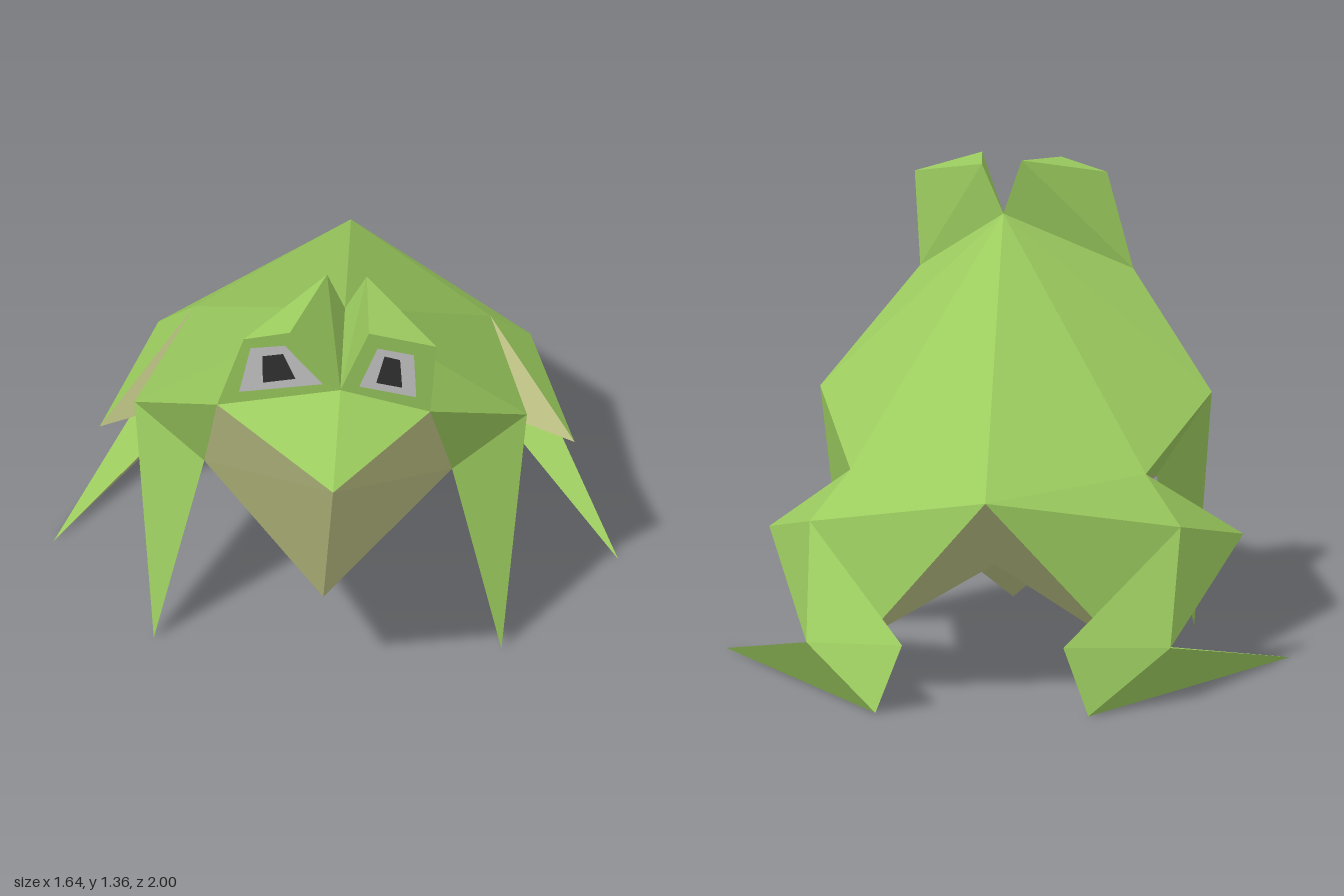
import * as THREE from 'three';

const paint = (color) => new THREE.MeshStandardMaterial({ color, flatShading: true, side: THREE.DoubleSide });

// Corner points of the folded shape, given for the +x half
const P = {
  nose: [0.05, 1.02, 1], brow: [0.05, 1.1, 0.61], crown: [0.05, 1.21, 0.36],
  rump: [0, 0.6, -0.88], chin: [0, 0.34, 0.6], belly: [0, 0.13, 0.1], groin: [0, 0.355, -0.55],
  cheek: [0.31, 1.01, 0.58], shoulder: [0.57, 0.725, 0.2], chest: [0.36, 0.625, 0.34],
  armpit: [0.42, 0.5, 0.07], hand: [0.505, 0, 0.37], waist: [0.43, 0.605, -0.43],
  hip: [0.54, 0.47, -0.53], knee: [0.69, 0.375, -0.14], ankle: [0.53, 0.16, -0.77],
  hock: [0.365, 0.16, -0.7], heel: [0.235, 0.195, -0.97], sole: [0.31, 0, -1], toe: [0.82, 0, -0.08],
};
const CENTRE = ['nose', 'brow', 'crown', 'rump', 'chin', 'belly', 'groin'];

// Polygons (fans of corners) to a flat-shaded mesh; side -1 reverses the winding
function facets(name, polygons, material, side = 1) {
  const out = [];
  for (const poly of polygons) {
    for (let i = 1; i < poly.length - 1; i++) {
      const tri = [poly[0], poly[i], poly[i + 1]];
      if (side < 0) tri.reverse();
      out.push(...tri.flat());
    }
  }
  const geometry = new THREE.BufferGeometry();
  geometry.setAttribute('position', new THREE.Float32BufferAttribute(out, 3));
  geometry.computeVertexNormals();
  const mesh = new THREE.Mesh(geometry, material);
  mesh.name = name;
  return mesh;
}

// Faces of each part, named by their corners
const PARTS = [
  ['back', 'green', ['nose cheek brow', 'crown cheek shoulder', 'crown shoulder waist',
    'crown waist rump', 'cheek chest shoulder', 'shoulder armpit waist']],
  ['underside', 'pale', ['nose chin chest', 'nose chest cheek', 'chin belly chest',
    'chest belly armpit', 'armpit belly waist', 'waist belly groin']],
  ['frontLeg', 'green', ['shoulder chest hand', 'shoulder hand armpit', 'chest armpit hand']],
  ['thigh', 'green', ['waist knee hip', 'hip knee ankle', 'waist hip rump', 'rump hip hock']],
  ['thighUnderside', 'pale', ['waist groin knee', 'groin hock knee', 'knee hock ankle', 'rump hock groin']],
  ['hindFoot', 'green', ['hip ankle heel', 'ankle toe sole', 'heel ankle sole', 'hock toe ankle']],
  ['hindFootInside', 'pale', ['hip heel hock', 'hock heel sole', 'hock sole toe']],
];

// The two eyes differ slightly, as in folded paper: front-view outlines
const EYES = [
  { side: 1, inner: [0.135, 1.335], outer: [0.33, 1.28], back: [0.115, 1.35, 0.39],
    white: [[0.105, 1.12], [0.27, 1.075], [0.265, 1.25], [0.16, 1.278]],
    pupil: [[0.155, 1.14], [0.23, 1.12], [0.225, 1.235], [0.18, 1.25]] },
  { side: -1, inner: [-0.095, 1.325], outer: [-0.23, 1.285], back: [0, 1.36, 0.4],
    white: [[0, 1.125], [-0.245, 1.07], [-0.21, 1.255], [-0.11, 1.275]],
    pupil: [[-0.08, 1.145], [-0.175, 1.12], [-0.175, 1.23], [-0.115, 1.245]] },
];

export function createModel() {
  const model = new THREE.Group();
  model.name = 'foldedFrog';
  const mats = { green: paint(0x9ccc5f), pale: paint(0xbcc183), white: paint(0xcccccc), dark: paint(0x333333) };

  // Body and legs, both halves
  for (const side of [1, -1]) {
    const prefix = side > 0 ? 'left ' : 'right ';
    const at = (key) => {
      const [x, y, z] = P[key];
      return CENTRE.includes(key) ? [x, y, z] : [x * side, y, z];
    };
    for (const [name, mat, faces] of PARTS) {
      const polygons = faces.map((f) => f.split(' ').map(at));
      model.add(facets(prefix + name, polygons, mats[mat], side));
    }
  }

  // Eyes: a folded socket with a white and a pupil lying on its front plane
  for (const { side, inner, outer, back, white, pupil } of EYES) {
    const eye = new THREE.Group();
    eye.name = side > 0 ? 'left eye' : 'right eye';
    const onFront = (lift) => ([x, y]) =>
      [x, y, 0.61 - 0.056 * Math.abs(x - 0.05) + 0.172 * (y - 1.1) + lift];
    const cheek = [P.cheek[0] * side, P.cheek[1], P.cheek[2]];
    const [i, o] = [inner, outer].map(onFront(0));
    eye.add(facets('eyeSocket', [
      [P.brow, cheek, o, i], [P.brow, i, back, P.crown], [cheek, P.crown, back, o], [i, o, back],
    ], mats.green, side));
    eye.add(facets('eyeWhite', [white.map(onFront(0.006))], mats.white, side));
    eye.add(facets('pupil', [pupil.map(onFront(0.012))], mats.dark, side));
    model.add(eye);
  }
  return model;
}
